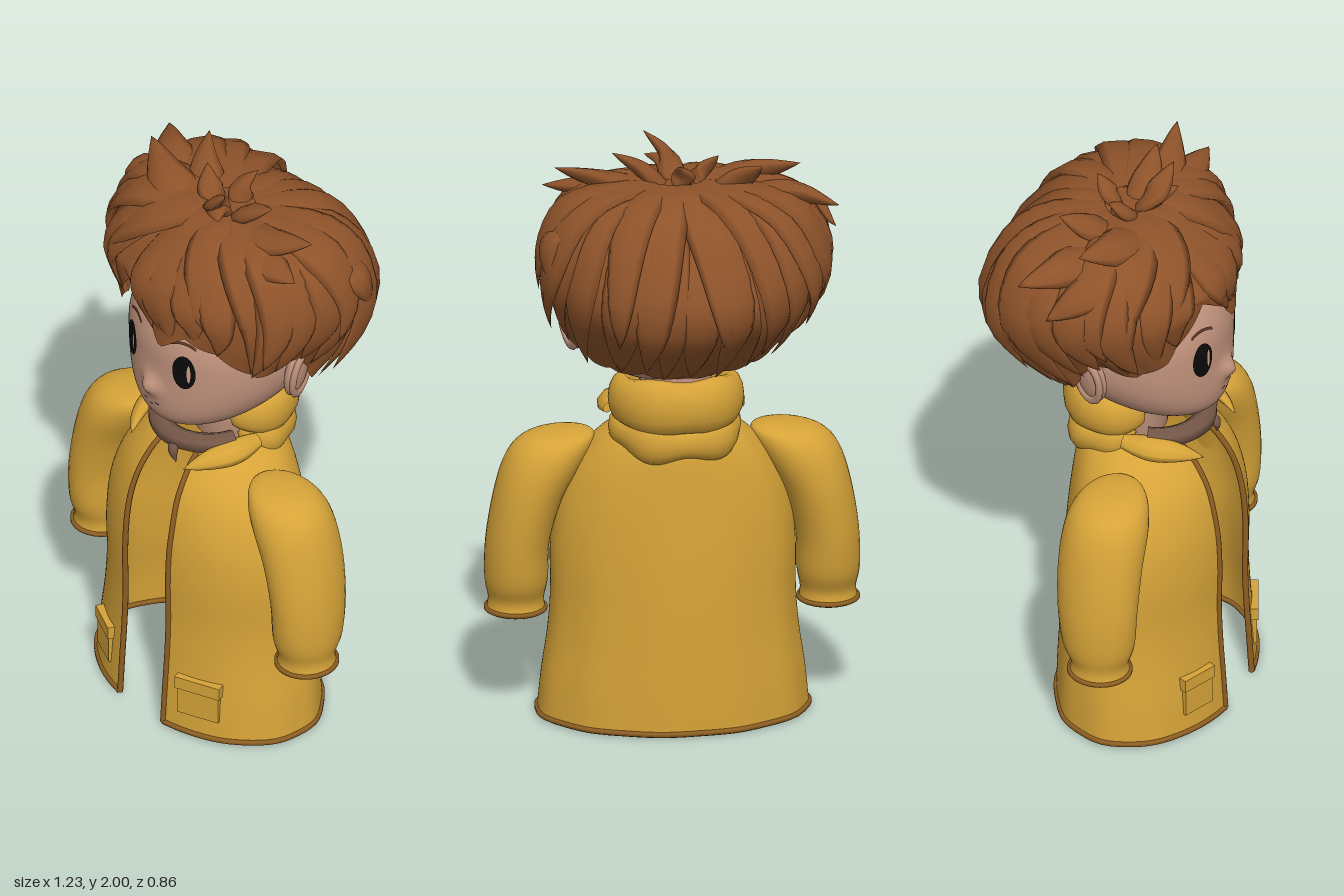
import * as THREE from 'three';
import { mergeGeometries, mergeVertices } from 'three/addons/utils/BufferGeometryUtils.js';

const V = (x, y, z) => new THREE.Vector3(x, y, z);
const mat = (name, color, side = THREE.FrontSide) => {
  const m = new THREE.MeshStandardMaterial({ color, side });
  m.name = name;
  return m;
};

// Smooth surface from fn(u, v); outside is du x dv
function grid(fn, nu, nv) {
  const pos = [], idx = [];
  for (let i = 0; i <= nu; i++) for (let j = 0; j <= nv; j++) pos.push(...fn(i / nu, j / nv).toArray());
  for (let i = 0; i < nu; i++) for (let j = 0; j < nv; j++) {
    const a = i * (nv + 1) + j, b = a + nv + 1;
    idx.push(a, b, a + 1, b, b + 1, a + 1);
  }
  let g = new THREE.BufferGeometry();
  g.setAttribute('position', new THREE.Float32BufferAttribute(pos, 3));
  g.setIndex(idx);
  g = mergeVertices(g, 1e-5);
  g.computeVertexNormals();
  return g;
}

// Catmull-Rom interpolation through rows of numbers
function rowAt(rows, t) {
  const n = rows.length - 1, i = Math.min(Math.floor(t * n), n - 1), f = t * n - i;
  const r = k => rows[Math.max(0, Math.min(n, k))];
  return rows[i].map((b, k) => {
    const a = r(i - 1)[k], c = r(i + 1)[k], d = r(i + 2)[k];
    return b + 0.5 * f * (c - a + f * (2 * a - 5 * b + 4 * c - d + f * (3 * (b - c) + d - a)));
  });
}

// Flattened pointed lock along a path, facing away from a centre
function lock(points, w, t, centre = V(0, 1.5, 0)) {
  const curve = new THREE.CatmullRomCurve3(points);
  return grid((u, v) => {
    const p = curve.getPoint(u), T = curve.getTangent(u);
    const N = p.clone().sub(centre);
    N.addScaledVector(T, -N.dot(T)).normalize();
    const B = T.clone().cross(N), f = v * Math.PI * 2;
    const s = (0.5 + 0.5 * Math.sin(Math.min(1, u / 0.5) * Math.PI / 2)) * (1 - u ** 2.4);
    return p.addScaledVector(B, w * s * Math.cos(f)).addScaledVector(N, t * s * Math.sin(f));
  }, 14, 8);
}

// Face surface: ellipsoid whose lower half slides forward into the chin, with a soft nose
const HEAD = { y: 1.42, z: 0.06, rx: 0.32, ry: 0.295, rz: 0.315 };
const relief = (x, yl) => 0.18 * Math.max(0, -yl / HEAD.ry) ** 2
  + 0.034 * Math.exp(-(x * x + (yl + 0.12) ** 2) / 0.0011);
const faceZ = (x, y) => {
  const yl = y - HEAD.y;
  return HEAD.z + HEAD.rz * Math.sqrt(Math.max(0, 1 - (x / HEAD.rx) ** 2 - (yl / HEAD.ry) ** 2)) + relief(x, yl);
};
function decal(g, x, y, off) {
  const p = g.attributes.position;
  for (let i = 0; i < p.count; i++) {
    const px = p.getX(i) + x, py = p.getY(i) + y;
    p.setXYZ(i, px, py, faceZ(px, py) + off);
  }
  g.computeVertexNormals();
  return g;
}
const oval = (rx, ry) => new THREE.RingGeometry(0, 1, 28, 4).scale(rx, ry, 1);
function stroke(w, h, bend) {
  const g = new THREE.PlaneGeometry(w, h, 10, 1), p = g.attributes.position;
  for (let i = 0; i < p.count; i++) p.setY(i, p.getY(i) - bend * (2 * p.getX(i) / w) ** 2);
  return g;
}

// Hair: lower edge heights by angle (0 is the front, + is the model's left)
const HEM = [[-3.15, 1.24], [-2.4, 1.27], [-1.9, 1.34], [-1.5, 1.46], [-1.1, 1.42], [-0.8, 1.46], [-0.4, 1.64], [-0.1, 1.57],
  [0.12, 1.48], [0.4, 1.55], [0.7, 1.51], [1.1, 1.42], [1.5, 1.46], [1.9, 1.34], [2.4, 1.27], [3.15, 1.24]];
function hemY(a) {
  a = Math.atan2(Math.sin(a), Math.cos(a));
  const i = Math.max(1, HEM.findIndex(h => h[0] >= a)), [p, q] = [HEM[i - 1], HEM[i]];
  return THREE.MathUtils.lerp(p[1], q[1], (a - p[0]) / (q[0] - p[0]));
}
// Point on the hair shell, u from crown (0) to lower edge (1)
function hairPoint(a, u) {
  const s = Math.sin(a), c = Math.cos(a), S = Math.abs(s), back = Math.max(0, -c);
  const E = V(-0.025 + 0.455 * s, 1.67 - 0.14 * back, -0.03 + (c > 0 ? 0.395 * c : -0.365 * back ** 0.85));
  const k = 0.66 + 0.17 * S - 0.03 * back;
  const H = V(s * 0.355, hemY(a), 0.05 + (c > 0 ? 0.325 : 0.19) * c);
  const K = E.clone().lerp(H, 0.55).add(V(0.025 * s, 0, -0.045 * back));
  return new THREE.CatmullRomCurve3([
    V(0, 1.86, 0.04), V(E.x * 0.38, 1.855, 0.04 + (E.z - 0.04) * 0.36),
    V(E.x * k, 1.78 + 0.03 * S, 0.03 + (E.z - 0.03) * k), E, K, H]).getPoint(u);
}
function hairLock(a, u0, u1, sweep, lift, flare, w, t) {
  const pts = [];
  for (let i = 0; i <= 7; i++) {
    const f = i / 7, p = hairPoint(a + sweep * f, u0 + (u1 - u0) * f);
    const out = V(p.x, (p.y - 1.5) * 0.7, p.z).normalize();
    pts.push(p.addScaledVector(out, lift * Math.sin(f * Math.PI) + flare * f * f));
  }
  return lock(pts, w, t);
}

// Coat rows: y, half width, half depth, centre z
const COAT = [[0.01, 0.445, 0.3, 0.13], [0.14, 0.432, 0.295, 0.127], [0.28, 0.412, 0.288, 0.125], [0.42, 0.402, 0.283, 0.125],
  [0.58, 0.402, 0.28, 0.13], [0.73, 0.383, 0.27, 0.13], [0.86, 0.335, 0.25, 0.12], [0.95, 0.27, 0.22, 0.1],
  [1.0, 0.215, 0.185, 0.085], [1.035, 0.16, 0.145, 0.075]];
function coatPoint(u, v) {
  const [y, rx, rz, cz] = rowAt(COAT, v);
  const a0 = Math.asin((0.108 - 0.04 * Math.max(0, v - 0.6) / 0.4) / rx), a = a0 + u * (Math.PI * 2 - 2 * a0);
  const fold = 1 + 0.008 * Math.sin(a * 11) * (1 - v) * Math.sin(u * Math.PI);
  return V(Math.sin(a) * rx * fold, y, cz + Math.cos(a) * rz * fold);
}

// Sleeve rows: x, y, z, half width, half depth
const SLEEVE = [[0.513, 0.36, 0.15, 0.096, 0.1], [0.512, 0.4, 0.15, 0.092, 0.097], [0.512, 0.47, 0.145, 0.104, 0.122],
  [0.508, 0.6, 0.14, 0.105, 0.135], [0.475, 0.75, 0.135, 0.115, 0.142], [0.425, 0.87, 0.135, 0.132, 0.14],
  [0.385, 0.94, 0.135, 0.125, 0.118], [0.35, 0.972, 0.135, 0.085, 0.075], [0.33, 0.982, 0.135, 0, 0]];

export function createModel() {
  const model = new THREE.Group();
  const coat = mat('coat yellow', 0xd6a338, THREE.DoubleSide), trim = mat('trim brown', 0x8f5f22);
  const hair = mat('hair brown', 0x8e532a, THREE.DoubleSide), skin = mat('skin', 0xc2937d);
  const band = mat('band brown', 0x765848), black = mat('eye black', 0x0b0a0a);
  const glint = mat('eye glint', 0xd0a083), brow = mat('brow brown', 0x5a3826), lip = mat('lip', 0x96614f);
  const add = (name, geo, m, parent = model) => {
    const mesh = new THREE.Mesh(geo, m);
    mesh.name = name;
    parent.add(mesh);
    return mesh;
  };
  const tube = (fn, n, r, closed = false) => new THREE.TubeGeometry(
    new THREE.CatmullRomCurve3(Array.from({ length: n + 1 - closed }, (_, i) => fn(i / n)), closed), n * 2, r, 6, closed);

  // Coat shell with trimmed edges
  add('coat', grid(coatPoint, 96, 40), coat);
  add('hemTrim', tube(u => coatPoint(u, 0), 40, 0.01), trim);
  for (const u of [0, 1]) add('openingTrim', tube(v => coatPoint(u, v), 24, 0.01), trim);

  for (const s of [1, -1]) {
    // Sleeve and cuff
    const sleeve = (u, v) => {
      const [x, y, z, rx, rz] = rowAt(SLEEVE, v), a = s * u * Math.PI * 2;
      return V(s * (x + Math.cos(a) * rx), y, z - Math.sin(a) * rz);
    };
    add('sleeve', grid(sleeve, 32, 32), coat);
    add('cuffTrim', tube(u => sleeve(u, 0), 24, 0.009, true), trim);

    // Pocket with flap
    const pocket = new THREE.Group(), w = s > 0 ? 0.15 : 0.12;
    pocket.name = 'pocket';
    pocket.position.set(s * 0.232, 0.15, 0.372);
    pocket.rotation.y = s * 0.4;
    model.add(pocket);
    add('pocketBag', new THREE.BoxGeometry(w, 0.14, 0.026), coat, pocket);
    add('pocketFlap', new THREE.BoxGeometry(w + 0.012, 0.045, 0.036), coat, pocket).position.y = 0.05;

    // Collar tip
    add('collarTip', lock([V(s * 0.21, 1.06, 0.1), V(s * 0.205, 1.055, 0.2), V(s * 0.17, 1.04, 0.29), V(s * 0.13, 1.015, 0.355)],
      0.05, 0.03, V(0, 0.8, 0.15)), coat);

    // Ear with rim
    const ear = new THREE.Group();
    ear.name = 'ear';
    ear.position.set(s * 0.337, 1.385, 0.045);
    ear.rotation.set(0, s * 0.35, -s * 0.15);
    model.add(ear);
    add('earLobe', new THREE.SphereGeometry(1, 20, 14).scale(0.03, 0.098, 0.06), skin, ear);
    add('earRim', new THREE.TorusGeometry(0.05, 0.012, 8, 24).rotateY(Math.PI / 2).scale(1, 1.6, 1), skin, ear).position.x = s * 0.018;

    // Eye and brow
    add('eye', decal(oval(0.039, 0.064), s * 0.129, 1.405, 0.004), black);
    add('eyeGlint', decal(oval(0.006, 0.034), s * 0.129 + 0.019, 1.405, 0.007), glint);
    add('eyebrow', decal(stroke(0.088, 0.01, 0.013), s * 0.117, 1.513, 0.005), brow);
    add('mouthCorner', decal(stroke(0.018, 0.006, 0), s * 0.027, 1.236, 0.004), lip);
  }
  add('mouth', decal(stroke(0.014, 0.005, 0), 0, 1.225, 0.004), lip);

  // Raised collar: upper roll open at the front, lower drooping fold
  const roll = (y, rx, rz, t, h, a0, sag, droop) => grid((u, v) => {
    const a = a0 + u * (Math.PI * 2 - 2 * a0), f = -v * Math.PI * 2;
    const e = Math.sin(u * Math.PI) ** 0.25, lump = 1 + droop * Math.sin(a * 5 + 1);
    const r = Math.cos(f) * t * e * lump;
    return V(Math.sin(a) * (rx + r), y + sag * Math.cos(a) - Math.sin(f) * h * e * lump, 0.015 + Math.cos(a) * (rz + r));
  }, 56, 14);
  add('collarUpper', roll(1.125, 0.18, 0.145, 0.05, 0.092, 0.6, -0.005, 0.05), coat);
  add('collarFold', roll(1.02, 0.175, 0.12, 0.05, 0.068, 0.7, 0.02, 0.2), coat);

  // Front band with a small hanging end
  add('neckBand', tube(u => {
    const a = (u - 0.5) * 2.6;
    return V(0.175 * Math.sin(a), 1.06 + 0.02 * Math.abs(u - 0.5), 0.125 + 0.17 * Math.cos(a));
  }, 16, 0.036), band);
  add('bandEnd', lock([V(0.03, 1.06, 0.3), V(0.045, 1.03, 0.325), V(0.055, 0.985, 0.32)], 0.025, 0.015, V(0, 1, 0)), band);

  // Neck
  add('neck', new THREE.LatheGeometry([[0, 0.94], [0.08, 0.95], [0.115, 1.0], [0.118, 1.15], [0.125, 1.38], [0, 1.4]]
    .map(p => new THREE.Vector2(...p)), 28), skin).position.z = 0.045;

  // Head with chin and nose
  const head = new THREE.SphereGeometry(1, 96, 72).scale(HEAD.rx, HEAD.ry, HEAD.rz), hp = head.attributes.position;
  for (let i = 0; i < hp.count; i++) {
    const z = hp.getZ(i);
    hp.setZ(i, z + relief(z > 0 ? hp.getX(i) : 1, hp.getY(i)));
  }
  head.computeVertexNormals();
  add('head', head, skin).position.set(0, HEAD.y, HEAD.z);

  // Hair shell with shallow ridges
  add('hairShell', grid((u, v) => {
    const a = u * Math.PI * 2, p = hairPoint(a, 1 - v);
    return p.addScaledVector(V(p.x, (p.y - 1.55) * 0.6, p.z).normalize(), 0.012 * Math.abs(Math.sin(a * 9)) * (1 - v));
  }, 126, 24), hair);

  // Layered locks around the head, fringe parted to both sides
  let seed = 7;
  const rnd = () => (seed = (seed * 16807) % 2147483647) / 2147483647;
  const locks = [];
  const layer = (n, u0, u1, spread, swing, w, t, flare) => {
    for (let i = 0; i < n; i++) {
      const a = -Math.PI + (i + 0.5 * rnd()) * Math.PI * 2 / n, front = Math.cos(a) > 0.55;
      const sweep = front ? (a < -0.25 ? -0.25 : 0.2) : swing * (rnd() - 0.5);
      locks.push(hairLock(a, u0, u1 + spread * rnd(), sweep, 0.008, front ? 0.006 : flare * (0.5 + rnd()), w * (0.8 + 0.4 * rnd()), t));
    }
  };
  layer(26, 0.25, 0.96, 0.04, 0.15, 0.075, 0.022, 0.02);
  layer(15, 0.1, 0.72, 0.2, 0.35, 0.1, 0.026, 0.035);
  add('hairLocks', mergeGeometries(locks), hair);

  // Upright tufts on the crown: base, middle, tip, width
  const tufts = [
    [[0, 1.82, 0.05], [0.02, 1.92, 0.12], [0.095, 2, 0.15], 0.055],
    [[0.02, 1.82, 0.03], [0.11, 1.9, 0.05], [0.21, 1.965, 0.04], 0.06],
    [[0.05, 1.82, 0.05], [0.23, 1.86, 0.07], [0.4, 1.925, 0.03], 0.075],
    [[0.1, 1.8, 0.08], [0.28, 1.82, 0.12], [0.43, 1.83, 0.13], 0.08],
    [[0, 1.83, 0.06], [0.03, 1.9, 0.12], [0.09, 1.91, 0.17], 0.05],
    [[0, 1.83, 0], [-0.02, 1.9, -0.03], [0, 1.95, -0.08], 0.05],
    [[-0.04, 1.82, 0.03], [-0.09, 1.89, 0.05], [-0.14, 1.95, 0.02], 0.055],
    [[-0.1, 1.81, 0.03], [-0.2, 1.88, -0.02], [-0.27, 1.95, -0.1], 0.07],
    [[-0.06, 1.81, 0.08], [-0.24, 1.86, 0.1], [-0.41, 1.91, 0.03], 0.09],
    [[-0.12, 1.78, 0], [-0.36, 1.83, -0.02], [-0.52, 1.82, -0.14], 0.09],
    [[-0.28, 1.75, 0.1], [-0.43, 1.78, 0.06], [-0.52, 1.71, -0.04], 0.08],
    [[0.3, 1.74, -0.1], [0.42, 1.72, -0.14], [0.43, 1.58, -0.2], 0.08]];
  add('crownTufts', mergeGeometries(tufts.map(([a, b, c, w]) => lock([V(...a), V(...b), V(...c)], w, w * 0.55))), hair);
  return model;
}
